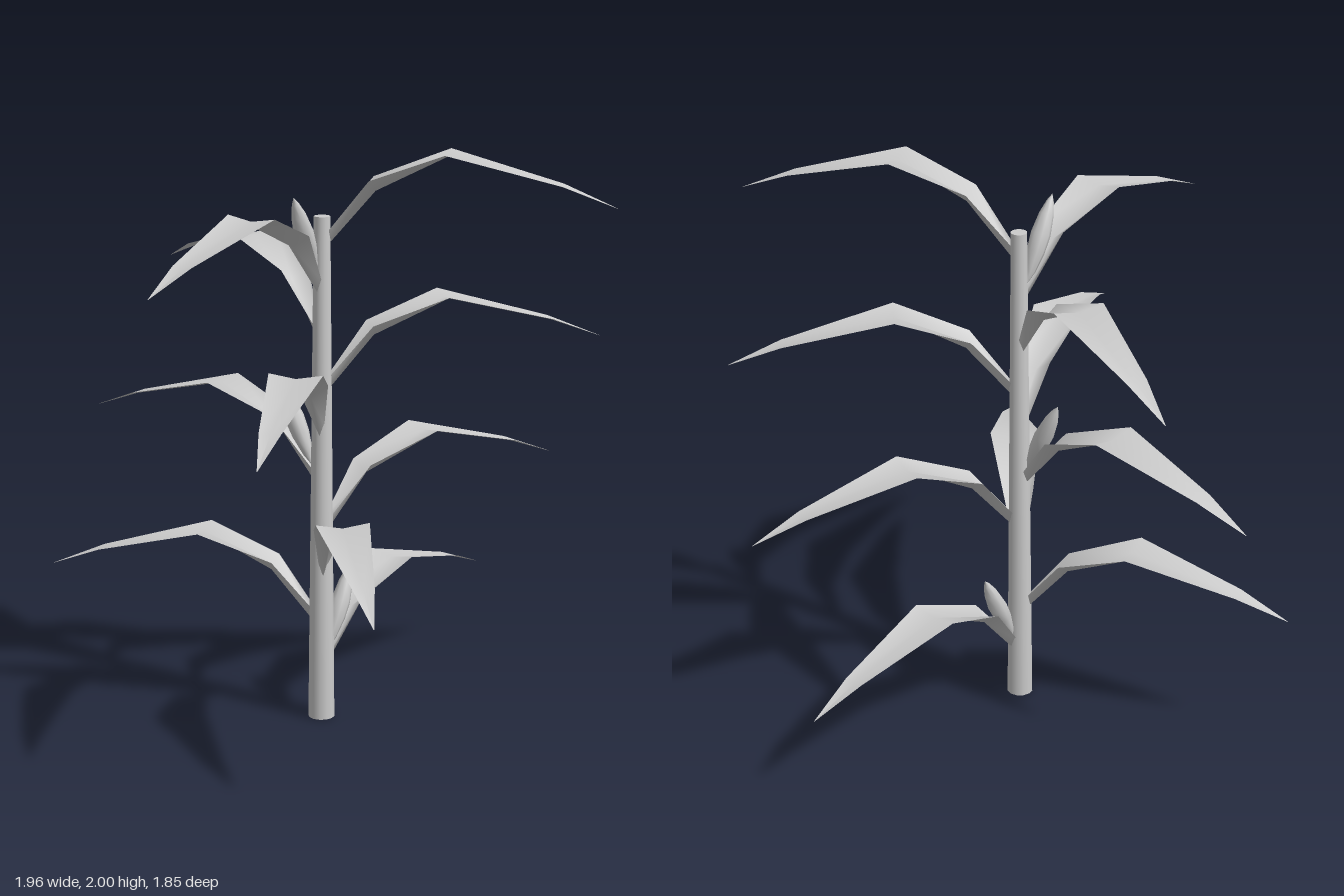
import * as THREE from 'three';

const material = new THREE.MeshStandardMaterial({ color: 0xcccccc });
const leafMaterial = new THREE.MeshStandardMaterial({ color: 0xcccccc, side: THREE.DoubleSide });

// Arching leaf along +x, y measured from its highest point.
// Each row: edge reach, edge height, half width, midrib reach, midrib height
const leafRows = [
  [0.025, -0.27, 0.014, 0.03, -0.31],
  [0.165, -0.095, 0.055, 0.18, -0.135],
  [0.42, 0, 0.09, 0.42, -0.015],
  [0.8, -0.1, 0.036, 0.8, -0.107],
  [0.98, -0.172, 0.001, 0.98, -0.173],
];

function leafGeometry() {
  const points = [], faces = [];
  leafRows.forEach(([x, y, w, mx, my], i) => {
    points.push(x, y, w, mx, my, 0, x, y, -w);
    if (i === 0) return;
    for (let k = 0; k < 2; k++) {
      const a = (i - 1) * 3 + k, b = a + 3;
      faces.push(a, b, a + 1, a + 1, b, b + 1);
    }
  });
  const geometry = new THREE.BufferGeometry();
  geometry.setAttribute('position', new THREE.Float32BufferAttribute(points, 3));
  geometry.setIndex(faces);
  geometry.computeVertexNormals();
  return geometry;
}

// Pointed spindle standing on its lower tip
function earGeometry() {
  const profile = [[0, 0], [0.018, 0.05], [0.031, 0.12], [0.034, 0.18], [0.025, 0.25], [0.012, 0.295], [0, 0.32]];
  return new THREE.LatheGeometry(profile.map(([r, y]) => new THREE.Vector2(r, y)), 8);
}

export function createModel() {
  const plant = new THREE.Group();
  plant.name = 'cornPlant';
  plant.position.z = 0.05;

  // Tapered stalk
  const stalk = new THREE.Mesh(new THREE.CylinderGeometry(0.028, 0.046, 1.775, 12), material);
  stalk.name = 'stalk';
  stalk.position.y = 1.775 / 2;
  plant.add(stalk);

  // Leaves spiral up the stalk; every fourth one carries an ear
  const leafShape = leafGeometry(), earShape = earGeometry();
  for (let i = 0; i < 10; i++) {
    const node = new THREE.Group();
    node.name = 'node' + i;
    node.position.y = 0.493 + i * 0.1674;
    node.rotation.y = THREE.MathUtils.degToRad(113 * i);

    const leaf = new THREE.Mesh(leafShape, leafMaterial);
    leaf.name = 'leaf';
    node.add(leaf);

    if (i % 4 === 0) {
      const ear = new THREE.Mesh(earShape, material);
      ear.name = 'ear';
      ear.position.set(0.035, -0.26, 0);
      ear.rotation.z = -0.45;
      node.add(ear);
    }
    plant.add(node);
  }

  const model = new THREE.Group();
  model.name = 'model';
  model.add(plant);
  return model;
}
